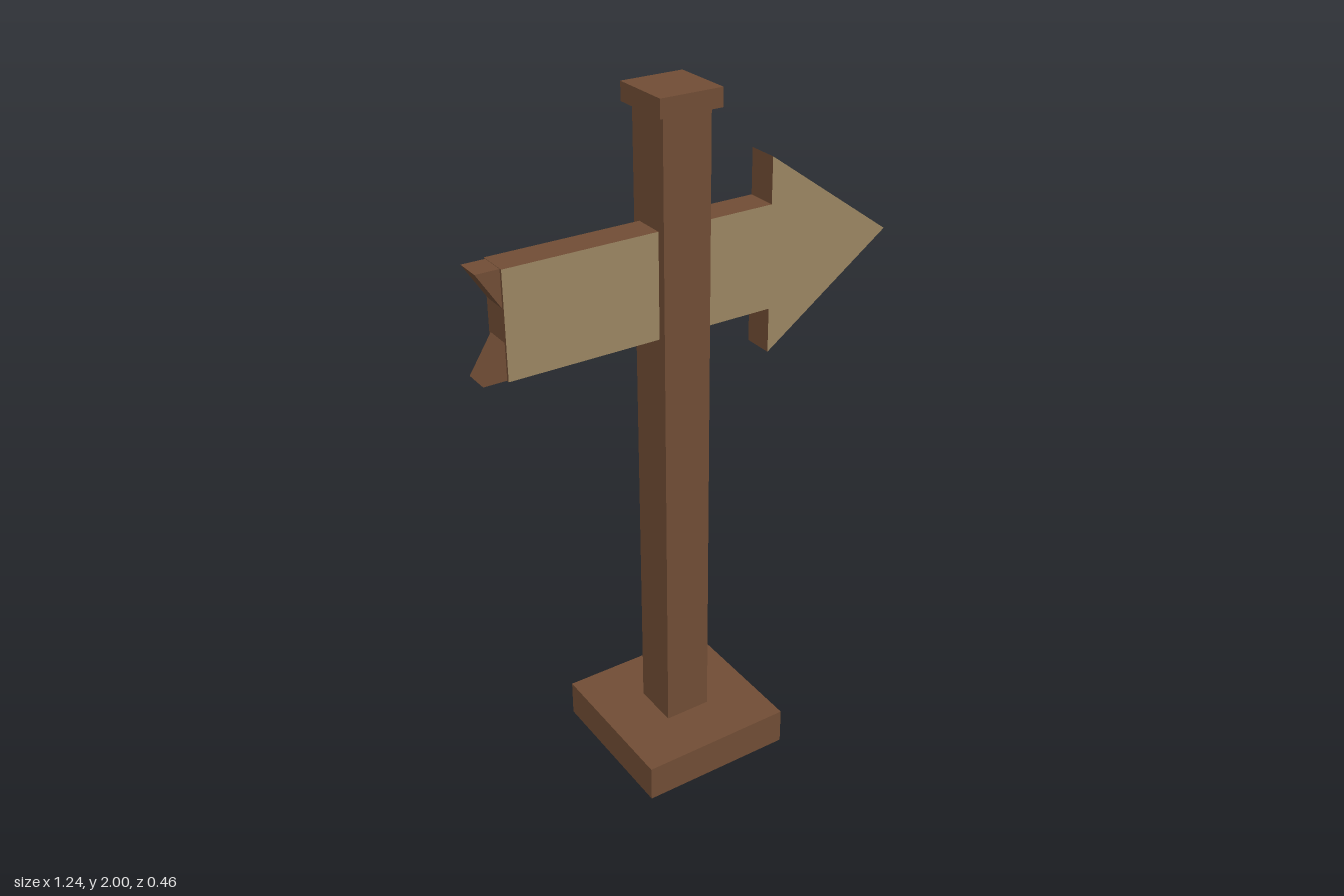
import * as THREE from 'three';

const POST_X = -0.05; // post axis, offset so the whole sign is centred

export function createModel() {
  const brownWood = new THREE.MeshStandardMaterial({ color: 0x714d35, side: THREE.DoubleSide });
  brownWood.name = 'brownWood';
  const tanPaint = new THREE.MeshStandardMaterial({ color: 0x9b8662 });
  tanPaint.name = 'tanPaint';

  const group = new THREE.Group();
  group.name = 'arrowSignpost';

  function add(name, geometry, material) {
    const mesh = new THREE.Mesh(geometry, material);
    mesh.name = name;
    group.add(mesh);
    return mesh;
  }

  // Square block standing on the post axis, optionally hollow from below
  function block(name, width, y0, y1, open) {
    const geometry = new THREE.BoxGeometry(width, y1 - y0, width);
    if (open) {
      const index = Array.from(geometry.index.array);
      index.splice(18, 6); // drop the bottom face
      geometry.setIndex(index);
      geometry.clearGroups();
    }
    add(name, geometry, brownWood).position.set(POST_X, (y0 + y1) / 2, 0);
  }

  // Flat outline extruded symmetrically about z = 0
  function plate(name, points, depth, material) {
    const shape = new THREE.Shape(points.map(([x, y]) => new THREE.Vector2(x, y)));
    const geometry = new THREE.ExtrudeGeometry(shape, { depth, bevelEnabled: false });
    geometry.translate(0, 0, -depth / 2);
    add(name, geometry, material);
  }

  block('base', 0.46, 0, 0.11, true);
  block('post', 0.14, 0, 1.96, true);
  block('cap', 0.18, 1.95, 2, false);

  // Arrow board: tan faces, brown edges
  const midY = 1.503;
  plate('arrowBoard', [
    [-0.555, midY - 0.148], [0.228, midY - 0.148], [0.228, midY - 0.277],
    [0.617, midY],
    [0.228, midY + 0.277], [0.228, midY + 0.148], [-0.555, midY + 0.148],
  ], 0.09, [tanPaint, brownWood]);

  // Two pointed tail tips forming the notch
  for (const [name, s] of [['upperTailTip', 1], ['lowerTailTip', -1]]) {
    plate(name, [
      [-0.555, midY + s * 0.147], [-0.62, midY + s * 0.147], [-0.555, midY + s * 0.045],
    ], 0.074, brownWood);
  }

  return group;
}
